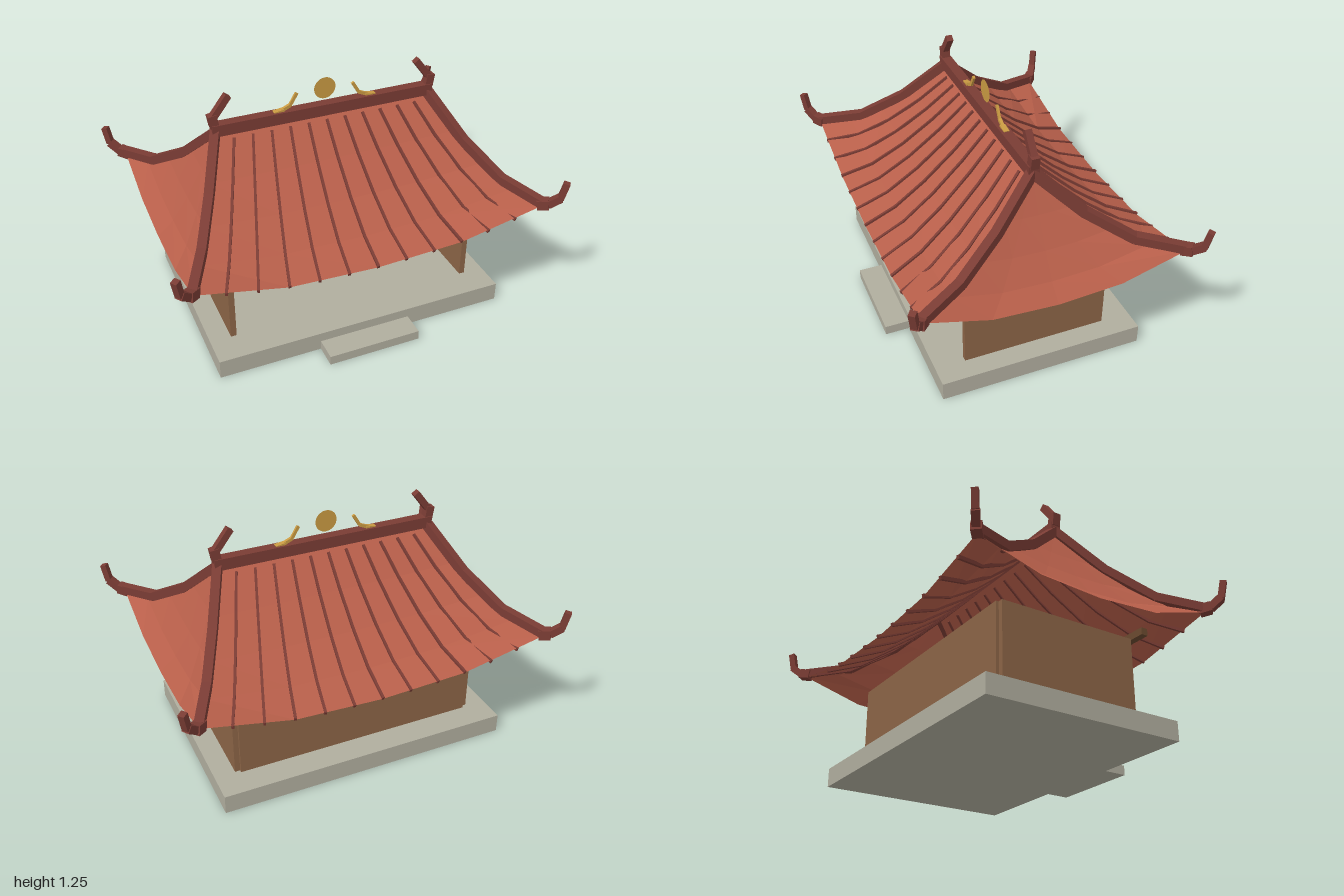
import * as THREE from 'three';

const mat = (name, color, extra = {}) => new THREE.MeshStandardMaterial({ name, color, ...extra });
const V = (x, y, z) => new THREE.Vector3(x, y, z);

// Roof dimensions
const RIDGE_X = 0.57, EAVE_X = 0.9, EAVE_Z = 0.655;

// Roof height: t runs ridge to eave, u runs -1..1 between the hips
const roofY = (t, u) =>
  0.535 + 0.505 * Math.pow(1 - t, 1.4) + 0.115 * Math.pow(Math.abs(u), 2.5) * t * t;
const reachX = (t) => RIDGE_X + (EAVE_X - RIDGE_X) * t;
const frontPoint = (t, u) => V(reachX(t) * u, roofY(t, u), EAVE_Z * t);
const sidePoint = (t, u) => V(reachX(t), roofY(t, u), -EAVE_Z * t * u);

// Sagging roof slope as a faceted grid
function slope(pointAt, material, name) {
  const n = 4, pos = [], idx = [];
  for (let i = 0; i <= n; i++)
    for (let j = 0; j <= n; j++) pos.push(...pointAt(i / n, (j / n) * 2 - 1).toArray());
  for (let i = 0; i < n; i++)
    for (let j = 0; j < n; j++) {
      const a = i * (n + 1) + j, b = a + n + 1;
      idx.push(a, b, b + 1, a, b + 1, a + 1);
    }
  const geo = new THREE.BufferGeometry();
  geo.setAttribute('position', new THREE.Float32BufferAttribute(pos, 3));
  geo.setIndex(idx);
  geo.computeVertexNormals();
  const mesh = new THREE.Mesh(geo, material);
  mesh.name = name;
  return mesh;
}

// Chain of square bars along a list of points
function bars(name, points, widths, height, material) {
  const group = new THREE.Group();
  group.name = name;
  for (let i = 0; i < points.length - 1; i++) {
    const a = points[i], b = points[i + 1];
    const w = Array.isArray(widths) ? widths[i] : widths;
    const bar = new THREE.Mesh(new THREE.BoxGeometry(w, height ?? w, a.distanceTo(b) + 0.004), material);
    bar.position.copy(a).add(b).multiplyScalar(0.5);
    bar.lookAt(b);
    bar.name = name + 'Segment';
    group.add(bar);
  }
  return group;
}

export function createModel() {
  const stone = mat('stone', 0xb0ad9e);
  const wood = mat('wallWood', 0x8b6446);
  const beamWood = mat('beamWood', 0x6b4a2f);
  const tile = mat('roofTile', 0xb85f4a, { flatShading: true, side: THREE.DoubleSide });
  const ridgeTile = mat('ridgeTile', 0x7a3c34);
  const gold = mat('gold', 0xc99a42, { side: THREE.DoubleSide });

  const model = new THREE.Group();
  model.name = 'pavilion';

  const box = (name, material, x0, x1, y0, y1, z0, z1) => {
    const mesh = new THREE.Mesh(new THREE.BoxGeometry(x1 - x0, y1 - y0, z1 - z0), material);
    mesh.position.set((x0 + x1) / 2, (y0 + y1) / 2, (z0 + z1) / 2);
    mesh.name = name;
    model.add(mesh);
  };

  // Stone platform and step
  box('platform', stone, -0.775, 0.775, 0, 0.1, -0.53, 0.53);
  box('step', stone, -0.245, 0.245, 0, 0.05, 0.53, 0.655);

  // Three walls, open at the front, with a beam across the opening
  box('backWall', wood, -0.64, 0.64, 0.1, 0.527, -0.39, -0.36);
  box('leftWall', wood, 0.637, 0.667, 0.1, 0.527, -0.375, 0.375);
  box('rightWall', wood, -0.667, -0.637, 0.1, 0.527, -0.375, 0.375);
  box('frontBeam', beamWood, -0.725, 0.725, 0.535, 0.572, 0.395, 0.432);

  // Roof: one front slope and one side slope, each turned to the opposite side
  for (const turn of [0, Math.PI]) {
    const half = new THREE.Group();
    half.name = turn ? 'rearRoofHalf' : 'frontRoofHalf';
    half.add(slope(frontPoint, tile, 'mainSlope'), slope(sidePoint, tile, 'endSlope'));

    // Tile ribs
    for (let i = -5; i <= 5; i++) {
      const pts = [0.04, 0.25, 0.5, 0.75, 1].map((t) => frontPoint(t, i / 6).add(V(0, 0.003, 0)));
      half.add(bars('tileRib', pts, 0.013, 0.018, ridgeTile));
    }

    // Hip ridges with upswept corner tips
    for (const s of [-1, 1]) {
      const hip = [0, 1 / 3, 2 / 3, 1].map((t) => frontPoint(t, s).add(V(0, 0.018, 0)));
      half.add(bars('hipRidge', hip, 0.045, 0.045, ridgeTile));
      const tip = [
        V(s * 0.885, 0.66, 0.64), V(s * 0.925, 0.67, 0.675),
        V(s * 0.968, 0.712, 0.706), V(s * 0.983, 0.8, 0.718),
      ];
      half.add(bars('cornerTip', tip, [0.05, 0.038, 0.032], undefined, ridgeTile));
    }
    half.rotation.y = turn;
    model.add(half);
  }

  // Main ridge
  box('mainRidge', ridgeTile, -0.59, 0.59, 1.04, 1.1, -0.027, 0.027);

  for (const s of [-1, 1]) {
    // Horns at the ridge ends
    model.add(bars('ridgeHornBase', [V(s * 0.574, 1.09, 0), V(s * 0.584, 1.15, 0)], 0.043, 0.043, ridgeTile));
    model.add(bars('ridgeHorn', [V(s * 0.575, 1.14, 0), V(s * 0.5, 1.238, 0)], 0.034, 0.034, ridgeTile));

    // Gold ornaments leaning toward the disc
    model.add(bars('ornamentTail', [V(s * 0.27, 1.097, 0), V(s * 0.22, 1.104, 0)], 0.028, 0.014, gold));
    model.add(bars('ornamentBody',
      [V(s * 0.235, 1.1, 0), V(s * 0.185, 1.122, 0), V(s * 0.15, 1.18, 0)], [0.016, 0.012], 0.016, gold));
  }

  // Gold disc above the ridge
  const disc = new THREE.Mesh(new THREE.CircleGeometry(0.057, 32), gold);
  disc.position.y = 1.18;
  disc.name = 'ridgeDisc';
  model.add(disc);

  return model;
}
